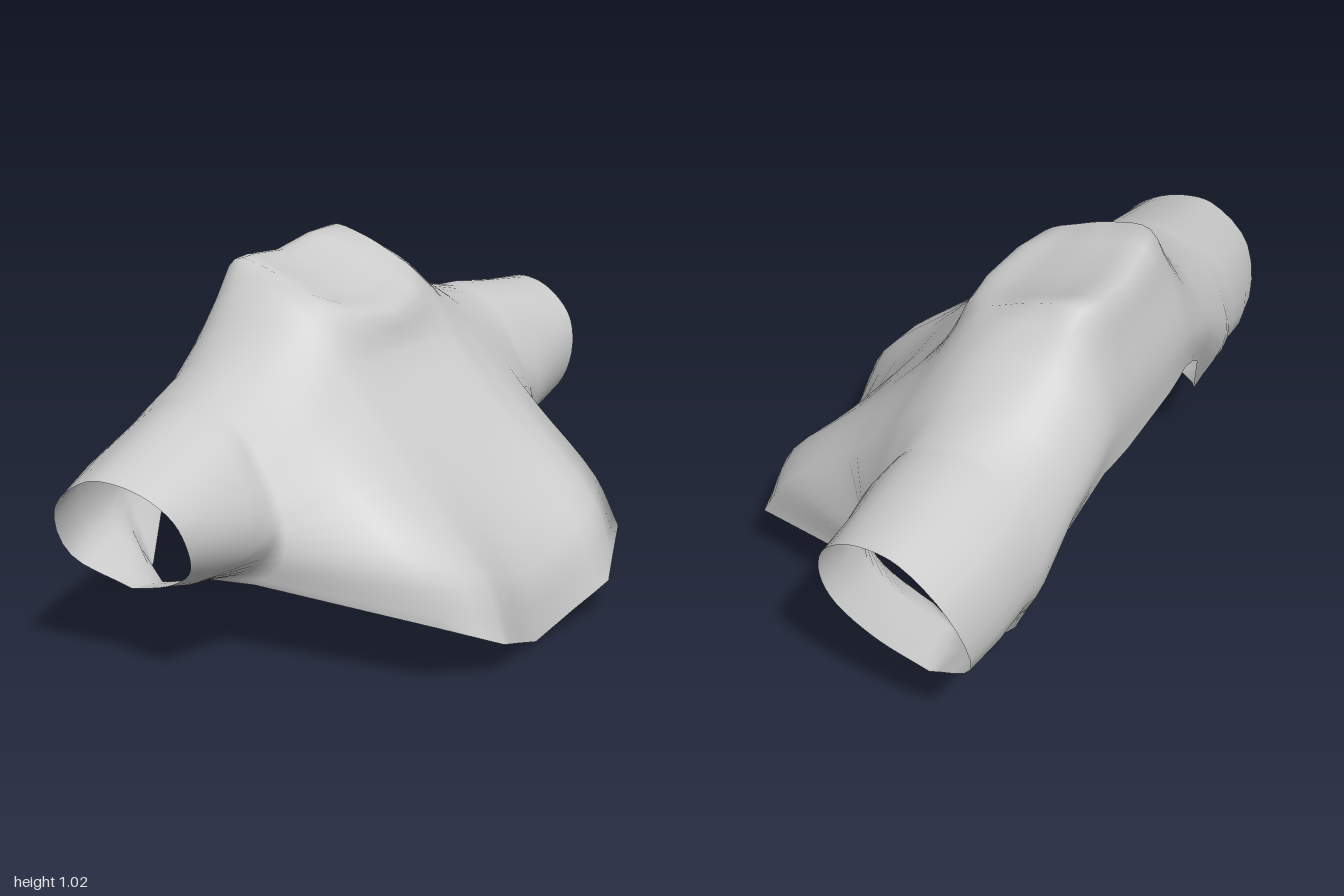
import * as THREE from 'three';
import { mergeVertices } from 'three/addons/utils/BufferGeometryUtils.js';

// Cross-sections at a given x: [z, y] points from the front hem, over the top, to the back hem.
const torso = [
  [0.00, [[.46, 0], [.43, .2], [.2, .535], [.0, .77], [-.03, .882], [-.14, .912], [-.3, .962], [-.44, .99], [-.49, .86], [-.53, .7], [-.53, .555]]],
  [0.14, [[.495, .057], [.445, .245], [.2, .54], [.005, .765], [-.055, .9], [-.16, .935], [-.3, .985], [-.435, 1.01], [-.49, .86], [-.53, .7], [-.53, .555]]],
  [0.22, [[.518, .09], [.455, .272], [.2, .542], [.013, .757], [-.1, .922], [-.2, .972], [-.3, 1.008], [-.415, 1.018], [-.485, .865], [-.53, .7], [-.525, .555]]],
  [0.27, [[.53, .11], [.455, .295], [.197, .54], [.03, .72], [-.1, .88], [-.2, .945], [-.3, .97], [-.4, .96], [-.48, .84], [-.53, .685], [-.52, .555]]],
  [0.34, [[.498, .145], [.43, .315], [.19, .53], [.05, .67], [-.06, .79], [-.16, .865], [-.28, .89], [-.39, .868], [-.475, .78], [-.527, .64], [-.513, .53]]],
  [0.45, [[.45, .2], [.37, .335], [.17, .51], [.065, .61], [-.03, .71], [-.14, .785], [-.26, .81], [-.37, .785], [-.46, .71], [-.52, .58], [-.485, .45]]],
];
// The first sections open into the armhole; after that each ring closes under the arm.
const sleeve = [
  [0.60, [[-.06, .252], [.035, .34], [.045, .45], [.012, .55], [-.05, .65], [-.12, .73], [-.23, .77], [-.34, .75], [-.45, .67], [-.515, .48], [-.42, .228]]],
  [0.63, [[-.19, .246], [-.05, .31], [.03, .42], [.014, .52], [-.04, .63], [-.11, .725], [-.23, .767], [-.34, .745], [-.455, .65], [-.508, .44], [-.405, .226]]],
  [0.69, [[-.31, .23], [-.15, .28], [-.025, .365], [.015, .465], [-.006, .575], [-.1, .71], [-.23, .76], [-.34, .735], [-.46, .62], [-.49, .4], [-.31, .23]]],
  [0.84, [[-.31, .245], [-.16, .285], [-.05, .37], [-.01, .47], [-.025, .58], [-.1, .69], [-.22, .73], [-.32, .71], [-.45, .6], [-.48, .38], [-.31, .245]]],
  [1.00, [[-.31, .255], [-.16, .32], [-.05, .41], [-.02, .51], [-.04, .61], [-.11, .675], [-.2, .705], [-.29, .695], [-.42, .57], [-.455, .36], [-.31, .255]]],
];

// Places a section on one side; cuffs slant inward below and in front, and the right sleeve hangs lower.
function placeSection([x, points], side) {
  const drop = side < 0 ? 0.16 * Math.max(0, (x - 0.5) / 0.5) : 0;
  const cuff = Math.max(0, (x - 0.69) / 0.31);
  return points.map(([z, y]) => {
    const low = Math.max(0, (0.7 - y) / 0.45);
    const fore = Math.max(0, (z + 0.25) / 0.25);
    const slant = cuff * ((side < 0 ? 0.19 : 0.12) * low * low + 0.05 * fore);
    return new THREE.Vector3(side * (x - slant), 0.25 + (y - 0.25) * (1 - drop), z);
  });
}

function garmentGeometry() {
  const half = [...torso, ...sleeve];
  const sections = [
    ...half.slice(1).reverse().map((s) => placeSection(s, -1)),
    ...half.map((s) => placeSection(s, 1)),
  ];
  const rows = 40;
  const positions = [];
  const index = [];
  sections.forEach((section, i) => {
    const curve = new THREE.CatmullRomCurve3(section);
    for (let j = 0; j <= rows; j++) {
      positions.push(...curve.getPoint(j / rows).toArray());
      if (i < sections.length - 1 && j < rows) {
        const a = i * (rows + 1) + j;
        const b = a + rows + 1;
        index.push(a, b, a + 1, b, b + 1, a + 1);
      }
    }
  });
  const geometry = new THREE.BufferGeometry();
  geometry.setAttribute('position', new THREE.Float32BufferAttribute(positions, 3));
  geometry.setIndex(index);
  // Weld the seam under each sleeve before smoothing
  const welded = mergeVertices(geometry, 1e-5);
  welded.computeVertexNormals();
  return welded;
}

export function createModel() {
  const group = new THREE.Group();
  group.name = 'shoulderGarment';
  const cloth = new THREE.MeshStandardMaterial({ color: 0xcccccc, side: THREE.DoubleSide });
  cloth.name = 'light grey';
  const garment = new THREE.Mesh(garmentGeometry(), cloth);
  garment.name = 'yokeWithSleeves';
  group.add(garment);
  return group;
}
